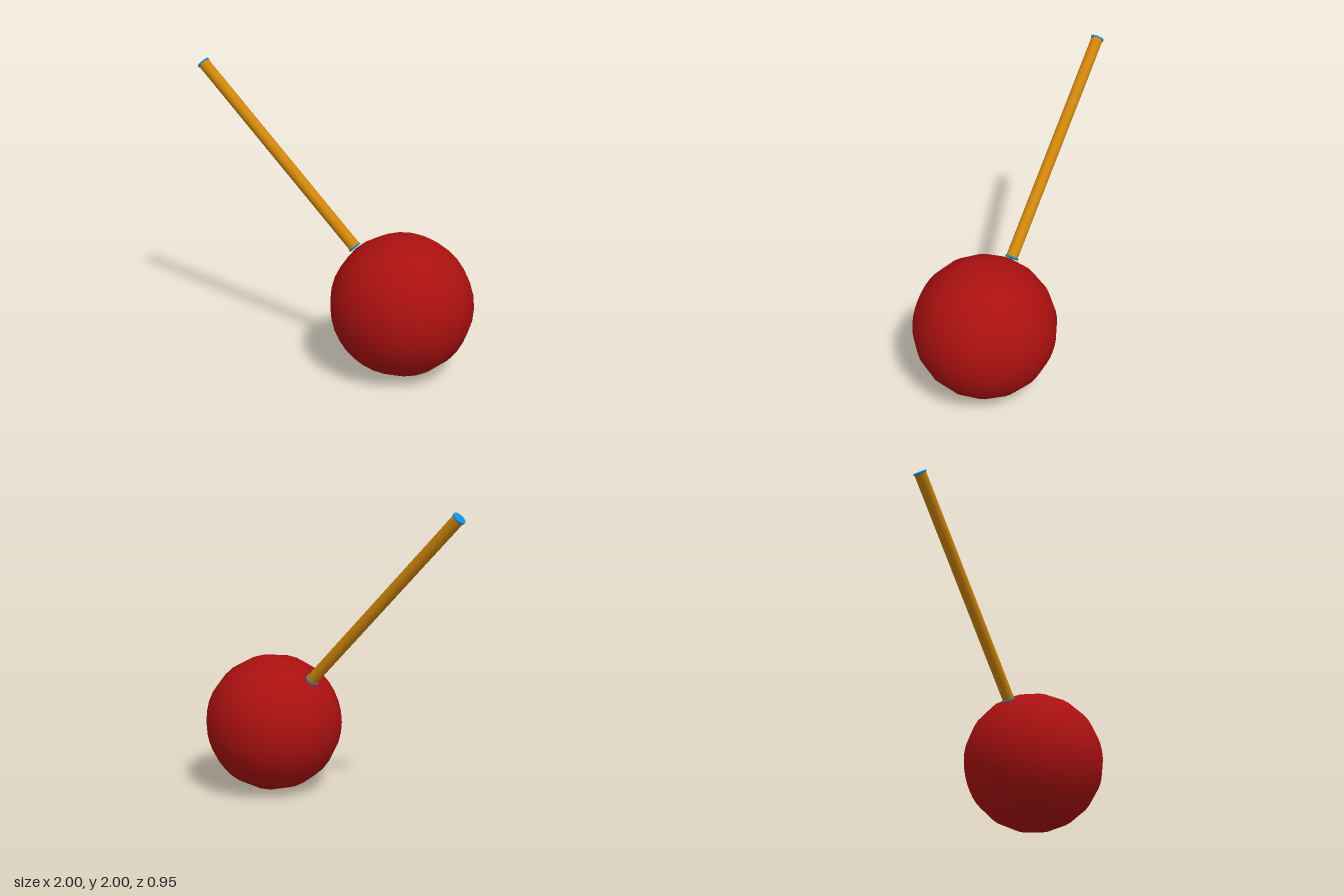
import * as THREE from 'three';

const material = (color) => new THREE.MeshStandardMaterial({ color });

export function createModel() {
  const model = new THREE.Group();
  model.name = 'ballOnStick';
  const radius = 0.4775;

  // Ball, with its poles pointing front and back
  const ball = new THREE.Mesh(new THREE.SphereGeometry(radius, 32, 10).rotateX(Math.PI / 2), material(0xaa1010));
  ball.name = 'ball';
  ball.position.set(1 - radius, radius, 0);
  model.add(ball);

  // Stick leaning at 45 degrees, built upright about its middle
  const bottom = new THREE.Vector3(0.178, 0.824, 0);
  const top = new THREE.Vector3(-0.965, 1.965, 0);
  const length = bottom.distanceTo(top);
  const stick = new THREE.Group();
  stick.name = 'stick';
  stick.position.addVectors(bottom, top).multiplyScalar(0.5);
  stick.rotation.z = Math.PI / 4;
  model.add(stick);

  const shaft = new THREE.Mesh(new THREE.CylinderGeometry(0.04, 0.04, length, 20), material(0xd0860c));
  shaft.name = 'shaft';
  stick.add(shaft);

  // Thin, slightly wider cap on each end
  for (const [name, side] of [['topCap', 1], ['bottomCap', -1]]) {
    const cap = new THREE.Mesh(new THREE.CylinderGeometry(0.045, 0.045, 0.01, 20), material(0x1090d8));
    cap.name = name;
    cap.position.y = side * length / 2;
    stick.add(cap);
  }
  return model;
}
